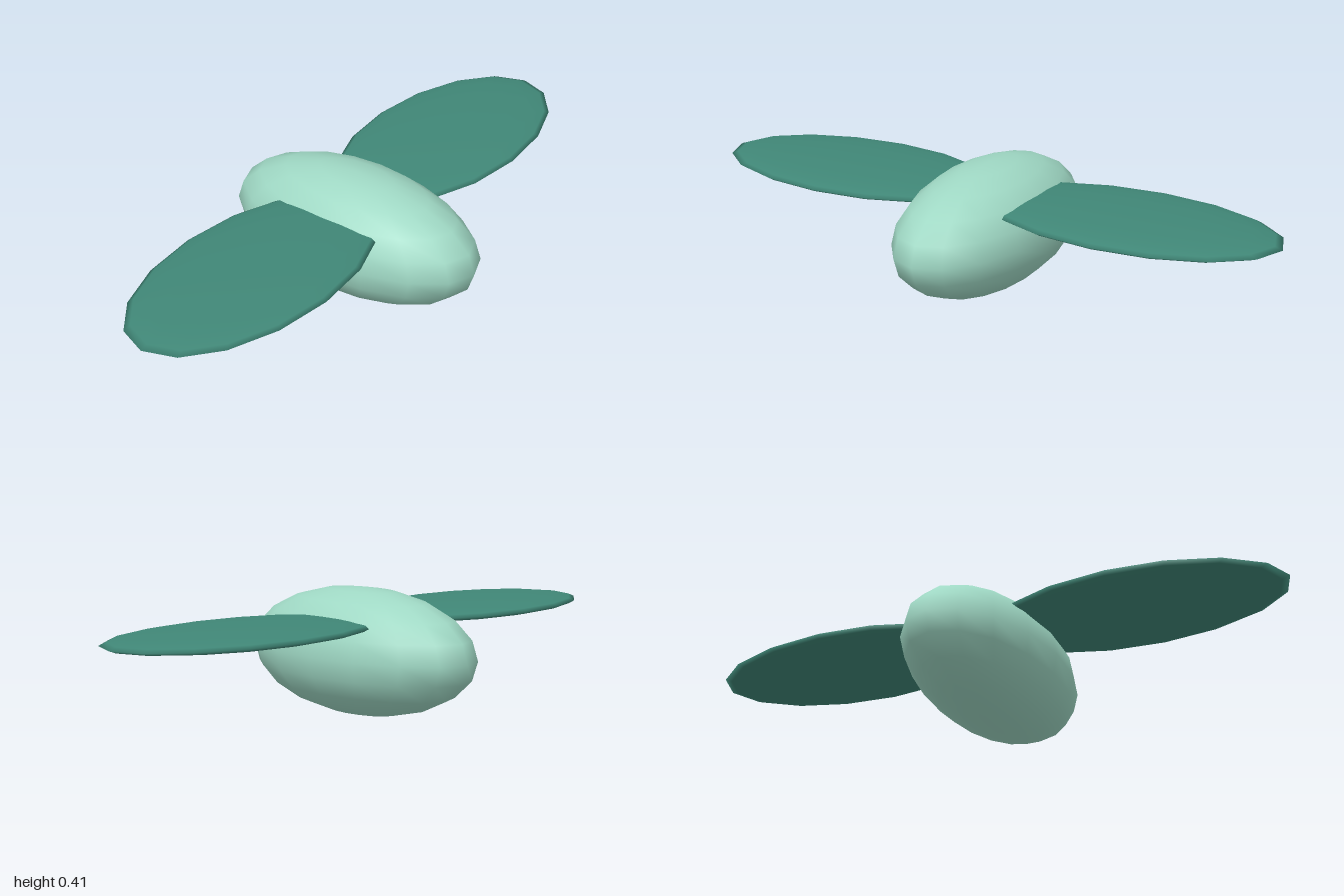
import * as THREE from 'three';

export function createModel() {
  const group = new THREE.Group();

  const bodyMaterial = new THREE.MeshStandardMaterial({ color: 0x9fd8c4 });
  bodyMaterial.name = 'paleMint';
  const wingMaterial = new THREE.MeshStandardMaterial({ color: 0x408777 });
  wingMaterial.name = 'deepTeal';

  // Every part is a smooth stretched sphere with its poles up and down
  function ellipsoid(name, material, radii, position) {
    const geometry = new THREE.SphereGeometry(1, 16, 10);
    geometry.scale(...radii); // also corrects the normals
    const mesh = new THREE.Mesh(geometry, material);
    mesh.name = name;
    mesh.position.set(...position);
    group.add(mesh);
  }

  // Long body, lying along z
  ellipsoid('body', bodyMaterial, [0.228, 0.207, 0.457], [0, 0.207, 0]);

  // Thin wings, meeting inside the body
  for (const [name, side] of [['leftWing', 1], ['rightWing', -1]]) {
    ellipsoid(name, wingMaterial, [0.5, 0.029, 0.27], [side * 0.5, 0.311, 0]);
  }

  return group;
}
